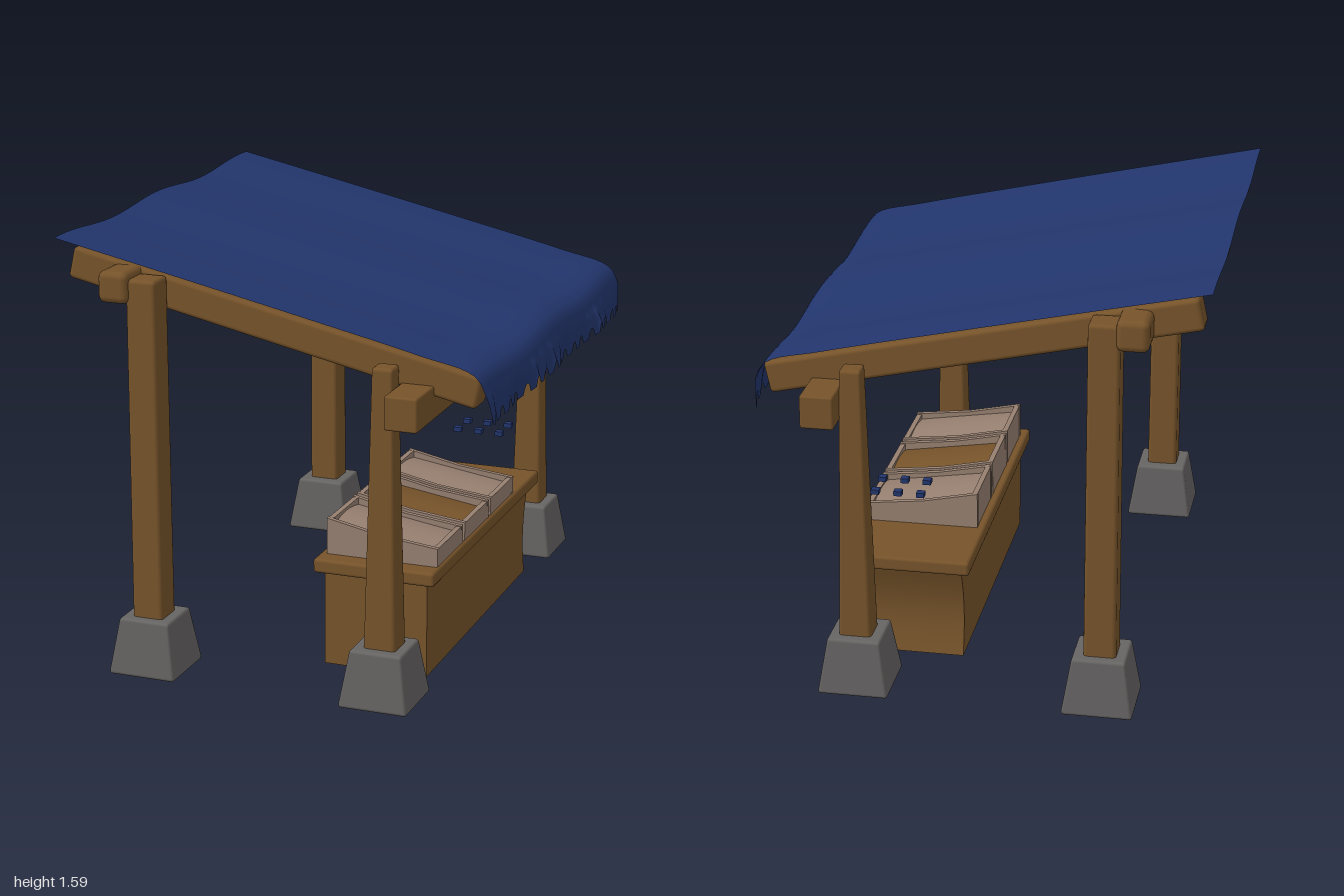
import * as THREE from 'three';
import { toCreasedNormals } from 'three/addons/utils/BufferGeometryUtils.js';
import { RoundedBoxGeometry } from 'three/addons/geometries/RoundedBoxGeometry.js';

const material = (name, color, extra = {}) => {
  const m = new THREE.MeshStandardMaterial({ color, ...extra });
  m.name = name;
  return m;
};

export function createModel() {
  const group = new THREE.Group();
  const wood = material('wood', 0x76532a);
  const stone = material('stone', 0x676564);
  const blue = material('blue cloth', 0x22356c, { side: THREE.DoubleSide });
  const pale = material('pale wood', 0x967f70);

  const add = (name, geometry, mat, x = 0, y = 0, z = 0, parent = group) => {
    const mesh = new THREE.Mesh(geometry, mat);
    mesh.name = name;
    mesh.position.set(x, y, z);
    parent.add(mesh);
    return mesh;
  };

  // Soft-edged box, narrowing towards its top
  const softBox = (w, h, d, r = 0.012, taper = 1) => {
    const g = new RoundedBoxGeometry(w, h, d, 2, r);
    const p = g.attributes.position;
    for (let i = 0; i < p.count; i++) {
      const k = 1 + (taper - 1) * (p.getY(i) / h + 0.5);
      p.setX(i, p.getX(i) * k);
      p.setZ(i, p.getZ(i) * k);
    }
    return g;
  };

  // Stone feet and posts
  for (const side of [1, -1]) {
    for (const x of [-0.46, 0.43]) {
      add('footing', softBox(0.26, 0.21, 0.26, 0.012, 0.74), stone, x, 0.115, side * 0.87);
    }
    add('backPost', softBox(0.118, 1.29, 0.118, 0.015, 0.95), wood, -0.46, 0.83, side * 0.875);
    add('frontPost', softBox(0.122, 1.07, 0.118, 0.015, 0.62), wood, 0.432, 0.705, side * 0.872);
  }

  // Sloping rafters and the two cross beams
  for (const z of [-0.77, 0, 0.77]) {
    add('rafter', softBox(1.57, 0.118, 0.11, 0.016), wood, -0.013, 1.325, z).rotation.z = -0.216;
  }
  add('highBeam', softBox(0.115, 0.115, 1.9, 0.025), wood, -0.56, 1.443, 0);
  add('lowBeam', softBox(0.12, 0.122, 2, 0.008), wood, 0.532, 1.11, 0);

  // Cloth roof: sags between rafters and hangs over the low edge in scallops
  const profile = new THREE.CatmullRomCurve3([
    [-0.82, 1.588], [-0.4, 1.497], [0.1, 1.387], [0.55, 1.285],
    [0.745, 1.232], [0.785, 1.17], [0.803, 1.055],
  ].map(([x, y]) => new THREE.Vector3(x, y, 0)));
  const cloth = new THREE.PlaneGeometry(1, 1, 36, 170);
  cloth.rotateX(-Math.PI / 2);
  const cp = cloth.attributes.position;
  const point = new THREE.Vector3();
  for (let i = 0; i < cp.count; i++) {
    const t = cp.getX(i) + 0.5;
    const z = cp.getZ(i) * 1.74 * (1 - 0.02 * t);
    profile.getPoint(Math.min(Math.max(t, 0), 1), point);
    const hang = Math.max(0, t * 6 - 5);
    const sag = 0.022 * Math.sin(Math.PI * z / 0.8) ** 2 * (1 - hang);
    const notch = Math.max(0, Math.cos(z * Math.PI * 2 / 0.101) - 0.15) ** 0.6;
    const wave = 0.012 * Math.sin(z * 9) + 0.006 * Math.sin(z * 23);
    cp.setXYZ(i, point.x + hang * wave, point.y - sag + hang * (0.04 * notch + 0.4 * wave), z);
  }
  cloth.computeVertexNormals();
  add('clothRoof', cloth, blue);

  // Counter, with its far end pinched in
  const body = new THREE.BoxGeometry(0.395, 0.365, 1.2, 2, 10, 4);
  const bp = body.attributes.position;
  for (let i = 0; i < bp.count; i++) {
    const h = bp.getY(i) / 0.365 + 0.5;
    if (bp.getZ(i) < -0.5) bp.setZ(i, -0.6 + 0.03 * Math.sin(h * Math.PI) - 0.03 * h * h);
  }
  body.computeVertexNormals();
  add('counterBody', toCreasedNormals(body, 0.7), wood, 0.298, 0.1825, 0);
  add('counterTop', softBox(0.465, 0.054, 1.295, 0.012), wood, 0.298, 0.386, -0.016);

  // Trays with sloping sides and a rounded filling
  const sideShape = new THREE.Shape([
    [0.093, 0.41], [0.52, 0.41], [0.52, 0.482], [0.3, 0.507], [0.093, 0.55],
  ].map(([x, y]) => new THREE.Vector2(x, y)));
  const sidePanel = new THREE.ExtrudeGeometry(sideShape, { depth: 0.02, bevelEnabled: false });
  const makeTray = (z, fill, drop) => {
    const tray = new THREE.Group();
    tray.name = 'tray';
    tray.position.z = z;
    group.add(tray);
    for (const zs of [-0.145, 0.125]) add('traySide', sidePanel, pale, 0, 0, zs, tray);
    add('trayBack', new THREE.BoxGeometry(0.02, 0.137, 0.25), pale, 0.104, 0.4785, 0, tray);
    add('trayFront', new THREE.BoxGeometry(0.02, 0.07, 0.25), pale, 0.509, 0.445, 0, tray);
    const filling = new THREE.BoxGeometry(0.385, 0.1, 0.25, 6, 1, 8);
    const p = filling.attributes.position;
    for (let i = 0; i < p.count; i++) {
      if (p.getY(i) < 0) continue;
      const slope = -0.155 * p.getX(i);
      const bulge = 0.016 * Math.cos(p.getZ(i) / 0.125 * Math.PI / 2);
      p.setY(i, 0.05 + slope + bulge - drop);
    }
    filling.computeVertexNormals();
    add('trayFilling', toCreasedNormals(filling, 0.7), fill, 0.306, 0.46, 0, tray);
  };
  makeTray(0.415, pale, 0.02);
  makeTray(0.103, wood, 0.025);
  makeTray(-0.207, pale, 0.02);

  // Small blue pieces above the end of the counter
  for (const x of [0.265, 0.35, 0.435]) {
    for (const z of [-0.432, -0.55]) {
      add('bluePiece', new THREE.BoxGeometry(0.03, 0.018, 0.03), blue, x, 0.626, z);
    }
  }
  return group;
}
